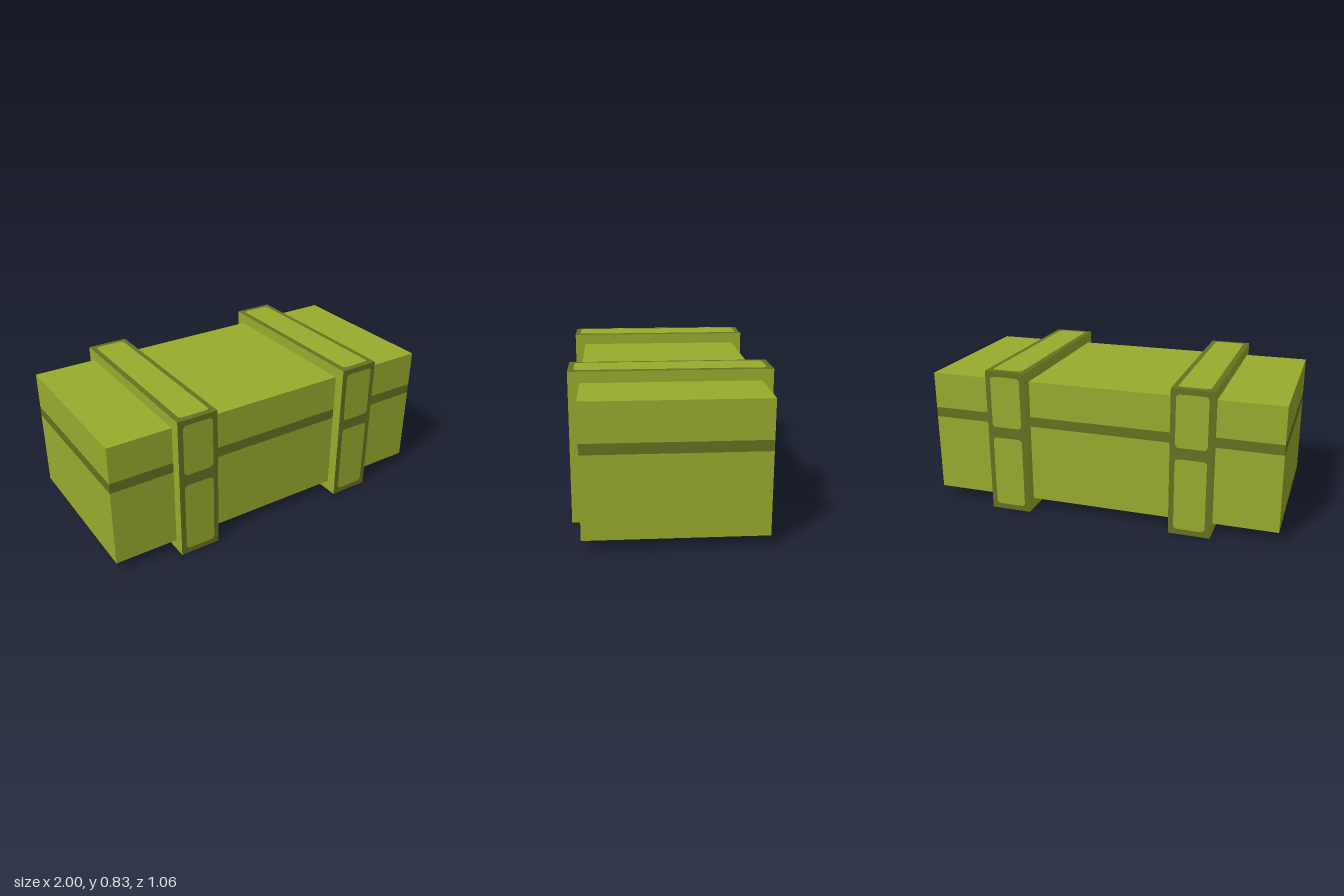
import * as THREE from 'three';

const light = new THREE.MeshStandardMaterial({ color: 0x99ab2d });
light.name = 'light green';
const dark = new THREE.MeshStandardMaterial({ color: 0x657221 });
dark.name = 'dark olive';

// Overall sizes
const BODY_Z = 0.47, BAND_Z = 0.53, BAND_TOP = 0.826, BAND_X = 0.526, BAND_W = 0.232;
const LIFT = 0.002; // keeps the painted panels just clear of the band

function box(name, w, y0, y1, d, material) {
  const mesh = new THREE.Mesh(new THREE.BoxGeometry(w, y1 - y0, d), material);
  mesh.name = name;
  mesh.position.y = (y0 + y1) / 2;
  return mesh;
}

// Flat rounded rectangle facing +z
function panel(name, w, h, r = 0.025) {
  const x = w / 2, y = h / 2;
  const s = new THREE.Shape();
  s.moveTo(-x + r, -y);
  s.lineTo(x - r, -y);
  s.quadraticCurveTo(x, -y, x, -y + r);
  s.lineTo(x, y - r);
  s.quadraticCurveTo(x, y, x - r, y);
  s.lineTo(-x + r, y);
  s.quadraticCurveTo(-x, y, -x, y - r);
  s.lineTo(-x, -y + r);
  s.quadraticCurveTo(-x, -y, -x + r, -y);
  const mesh = new THREE.Mesh(new THREE.ShapeGeometry(s, 6), light);
  mesh.name = name;
  return mesh;
}

// Raised band around the crate: dark frame, light sides and light inset panels
function createBand(name) {
  const band = new THREE.Group();
  band.name = name;
  band.add(box('bandFrame', BAND_W, 0, BAND_TOP, BAND_Z * 2, [light, light, dark, dark, dark, dark]));

  const w = 0.174;
  for (const side of [1, -1]) {
    // front and back: one panel on the lid, one on the base
    for (const [label, y0, y1] of [['lower', 0.032, 0.44], ['upper', 0.503, 0.796]]) {
      const p = panel(`${label}Panel`, w, y1 - y0);
      p.position.set(0, (y0 + y1) / 2, side * (BAND_Z + LIFT));
      if (side < 0) p.rotation.y = Math.PI;
      band.add(p);
    }
    // top and bottom: one long panel each
    const p = panel(side > 0 ? 'topPanel' : 'bottomPanel', w, 1.0);
    p.position.y = side > 0 ? BAND_TOP + LIFT : -LIFT;
    p.rotation.x = -side * Math.PI / 2;
    band.add(p);
  }
  return band;
}

export function createModel() {
  const crate = new THREE.Group();
  crate.name = 'crate';

  // Body: base, dark seam and lid, flush with one another
  crate.add(box('base', 2, 0.062, 0.503, BODY_Z * 2, light));
  crate.add(box('seam', 2, 0.503, 0.56, BODY_Z * 2, dark));
  crate.add(box('lid', 2, 0.56, 0.766, BODY_Z * 2, light));

  // Two mirrored bands
  for (const side of [1, -1]) {
    const band = createBand(side > 0 ? 'leftBand' : 'rightBand');
    band.position.x = side * BAND_X;
    crate.add(band);
  }
  return crate;
}
